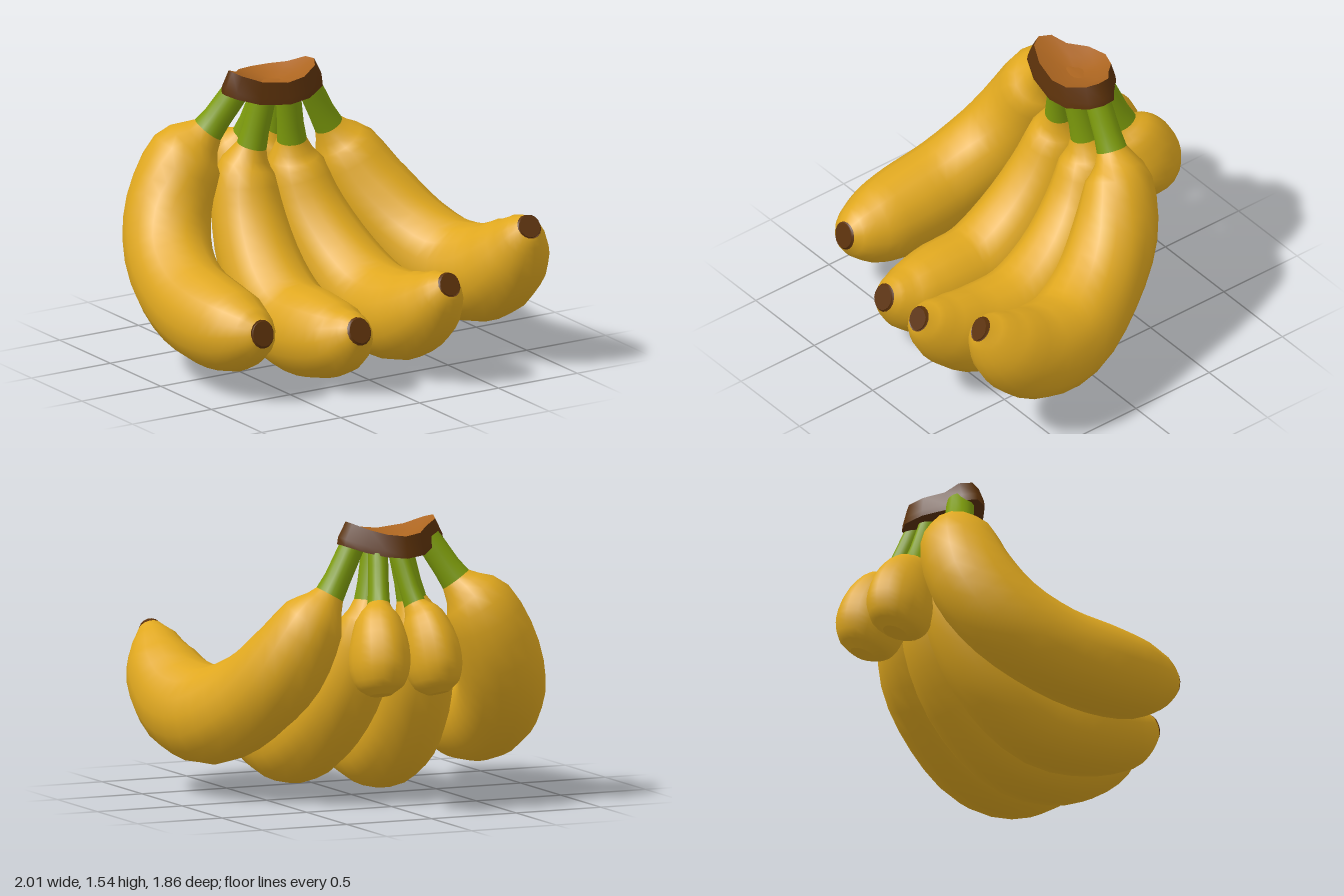
import * as THREE from 'three';

const mat = (name, color) => {
  const m = new THREE.MeshStandardMaterial({ color });
  m.name = name;
  return m;
};

// Skin through closed rings of equal length, optionally closed at the far end
function loft(rings, capEnd) {
  const n = rings[0].length, pos = [], idx = [];
  rings.forEach(r => r.forEach(p => pos.push(p.x, p.y, p.z)));
  for (let i = 0; i < rings.length - 1; i++) {
    for (let j = 0; j < n; j++) {
      const a = i * n + j, b = i * n + (j + 1) % n, c = a + n, d = b + n;
      idx.push(a, b, c, b, d, c);
    }
  }
  if (capEnd) {
    const last = rings[rings.length - 1], start = pos.length / 3;
    const mid = last.reduce((s, p) => s.add(p), new THREE.Vector3()).divideScalar(n);
    last.forEach(p => pos.push(p.x, p.y, p.z));
    pos.push(mid.x, mid.y, mid.z);
    for (let j = 0; j < n; j++) idx.push(start + n, start + j, start + (j + 1) % n);
  }
  const g = new THREE.BufferGeometry();
  g.setAttribute('position', new THREE.Float32BufferAttribute(pos, 3));
  g.setIndex(idx);
  g.computeVertexNormals();
  return g;
}

// Rings along a path of [x, y, z, radius]
function sweep(path, sides, steps, wide) {
  const spine = new THREE.CatmullRomCurve3(path.map(p => new THREE.Vector3(p[0], p[1], p[2])));
  const size = new THREE.CatmullRomCurve3(path.map((p, i) => new THREE.Vector3(p[3], i * 0.1, 0)));
  const total = (path.length - 1) * steps, rings = [];
  for (let i = 0; i <= total; i++) {
    const u = i / total, c = spine.getPoint(u), t = spine.getTangent(u), r = size.getPoint(u).x;
    const s = new THREE.Vector3(1, 0, 0).addScaledVector(t, -t.x).normalize();
    const v = new THREE.Vector3().crossVectors(t, s);
    rings.push(Array.from({ length: sides }, (_, j) => {
      const a = (j / sides) * Math.PI * 2;
      return c.clone().addScaledVector(s, Math.cos(a) * r * wide).addScaledVector(v, Math.sin(a) * r);
    }));
  }
  return rings;
}

// First path point: stem top, second: neck, last: tip
const BIG = {
  outerRightBanana: [[-0.25, 1.42, -0.42, 0.075], [-0.38, 1.2, -0.5, 0.09], [-0.48, 1.065, -0.55, 0.21],
    [-0.605, 0.81, -0.535, 0.245], [-0.7, 0.58, -0.39, 0.25], [-0.755, 0.42, -0.12, 0.25], [-0.765, 0.365, 0.15, 0.25],
    [-0.755, 0.36, 0.38, 0.22], [-0.745, 0.385, 0.54, 0.14], [-0.74, 0.4, 0.6, 0.078], [-0.74, 0.403, 0.61, 0.068]],
  innerRightBanana: [[-0.11, 1.4, -0.36, 0.07], [-0.16, 1.1, -0.41, 0.085], [-0.19, 0.95, -0.43, 0.17],
    [-0.21, 0.7, -0.36, 0.213], [-0.23, 0.42, -0.16, 0.243], [-0.235, 0.26, 0.09, 0.25], [-0.235, 0.255, 0.36, 0.24],
    [-0.225, 0.29, 0.58, 0.193], [-0.22, 0.345, 0.7, 0.12], [-0.22, 0.367, 0.745, 0.078], [-0.22, 0.372, 0.756, 0.068]],
  innerLeftBanana: [[0.03, 1.4, -0.35, 0.07], [0.08, 1.1, -0.39, 0.085], [0.105, 0.95, -0.4, 0.17],
    [0.145, 0.7, -0.31, 0.21], [0.2, 0.45, -0.09, 0.238], [0.235, 0.305, 0.18, 0.253], [0.24, 0.31, 0.46, 0.245],
    [0.25, 0.415, 0.69, 0.2], [0.255, 0.53, 0.83, 0.13], [0.258, 0.585, 0.89, 0.071], [0.258, 0.59, 0.9, 0.062]],
  outerLeftBanana: [[0.17, 1.42, -0.39, 0.07], [0.31, 1.145, -0.385, 0.085], [0.395, 1.01, -0.365, 0.185],
    [0.503, 0.77, -0.255, 0.238], [0.612, 0.56, -0.04, 0.252], [0.71, 0.44, 0.24, 0.268], [0.76, 0.48, 0.5, 0.262],
    [0.782, 0.625, 0.705, 0.215], [0.775, 0.76, 0.825, 0.135], [0.772, 0.822, 0.88, 0.071], [0.77, 0.828, 0.89, 0.062]],
};
const SMALL = [[0.08, 1.4, -0.5, 0.063], [0.13, 1.11, -0.615, 0.073], [0.155, 1.03, -0.66, 0.145],
  [0.173, 0.9, -0.715, 0.19], [0.183, 0.78, -0.742, 0.192], [0.19, 0.69, -0.765, 0.15], [0.193, 0.645, -0.778, 0.07]];

// Crown outline seen from above, as [x, z], running anticlockwise about +y
const CROWN = [[-0.355, -0.37], [-0.32, -0.31], [-0.2, -0.26], [-0.03, -0.23], [0.1, -0.24], [0.22, -0.3], [0.26, -0.37],
  [0.25, -0.45], [0.16, -0.52], [0.08, -0.6], [-0.03, -0.64], [-0.15, -0.6], [-0.24, -0.5], [-0.33, -0.45]];

export function createModel() {
  const skin = mat('banana yellow', 0xe0a81f);
  const green = mat('stem green', 0x7d9b0c);
  const bark = mat('dark brown', 0x5b310a);
  const cut = mat('cut brown', 0xac6520);
  const model = new THREE.Group();
  model.name = 'bananaBunch';

  const add = (parent, name, geo, material) => {
    const m = new THREE.Mesh(geo, material);
    m.name = name;
    parent.add(m);
  };

  function banana(name, path, hasTip, wide) {
    const steps = 3, rings = sweep(path, 16, steps, wide);
    const end = hasTip ? rings.length - 1 - steps : rings.length - 1;
    const g = new THREE.Group();
    g.name = name;
    add(g, 'stem', loft(rings.slice(0, steps + 1)), green);
    add(g, 'peel', loft(rings.slice(steps, end + 1), !hasTip), skin);
    if (hasTip) add(g, 'tip', loft(rings.slice(end), true), bark);
    model.add(g);
  }

  for (const [name, path] of Object.entries(BIG)) banana(name, path, true, 0.94);
  // Pair of small bananas at the back
  banana('smallLeftBanana', SMALL, false, 0.81);
  banana('smallRightBanana', SMALL.map(([x, y, z, r]) => [0.04 - x, y - 0.012, z + 0.015, r]), false, 0.77);

  // Saddle-shaped crown that joins the stems
  const ring = (wide, deep, base, bend) => CROWN.map(([x, z]) => {
    const dx = (x + 0.04) * wide;
    return new THREE.Vector3(dx - 0.04, base + bend * dx ** 2, -0.42 + (z + 0.42) * deep);
  });
  const crown = new THREE.Group();
  crown.name = 'crown';
  const lower = ring(1, 1, 1.35, 0.7), mid = ring(0.98, 0.98, 1.385, 0.75), upper = ring(0.84, 0.89, 1.467, 1.02);
  add(crown, 'crownSide', loft([lower, mid, upper]), bark);
  add(crown, 'crownUnderside', loft([ring(0.1, 0.1, 1.37, 0.7), ring(0.6, 0.6, 1.365, 0.7), lower]), bark);
  add(crown, 'crownCut', loft([upper, ring(0.55, 0.55, 1.445, 1.1), ring(0.2, 0.2, 1.435, 1.1)], true), cut);
  model.add(crown);
  return model;
}
